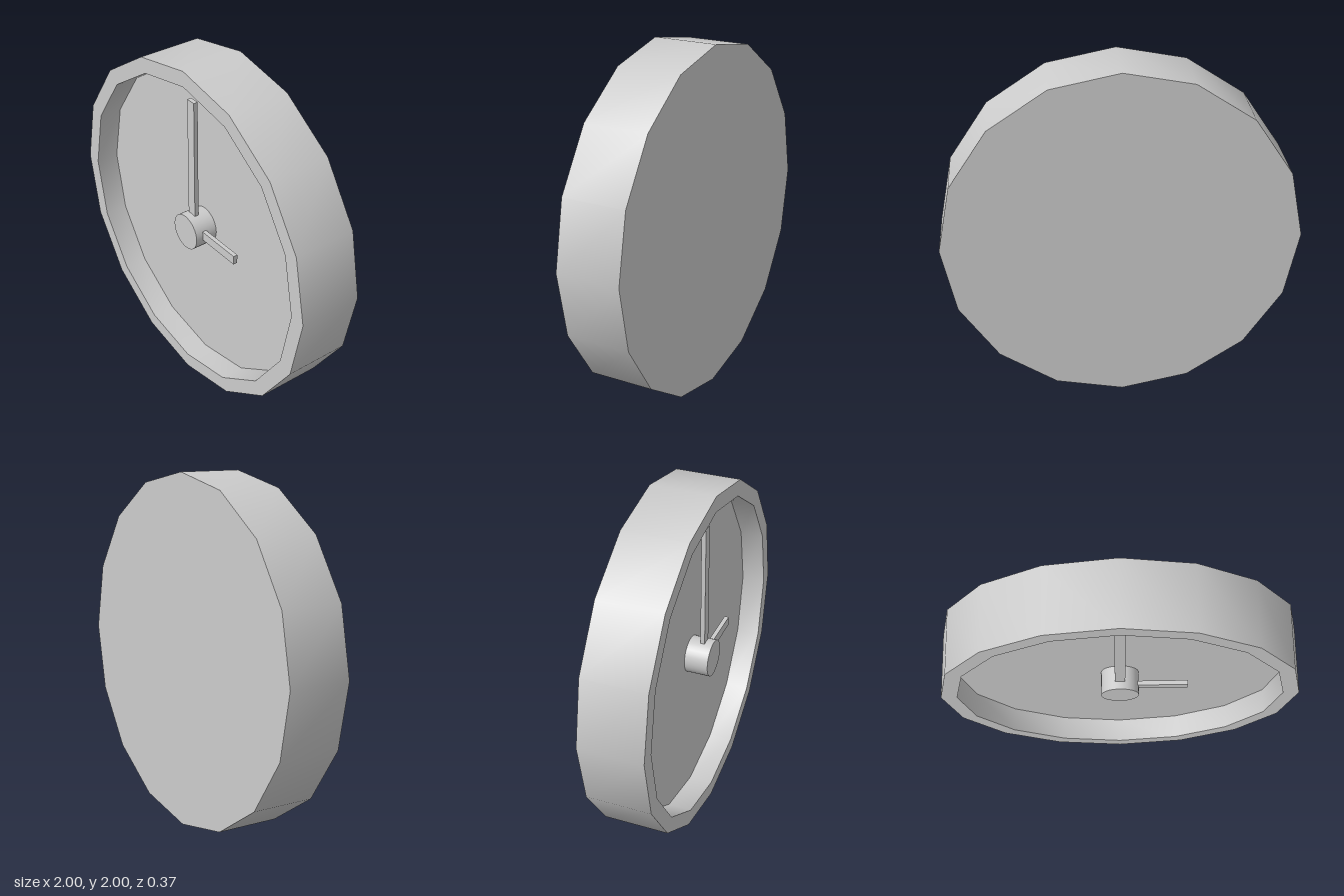
import * as THREE from 'three';
import { toCreasedNormals } from 'three/addons/utils/BufferGeometryUtils.js';

const HALF_DEPTH = 0.185, FLOOR = 0.05, RIM = 0.91;

export function createModel() {
  const clock = new THREE.Group();
  clock.name = 'wallClock';
  const material = new THREE.MeshStandardMaterial({ color: 0xcccccc });

  const add = (name, geometry, x, y, z) => {
    const mesh = new THREE.Mesh(geometry, material);
    mesh.name = name;
    mesh.position.set(x, y, z);
    clock.add(mesh);
    return mesh;
  };

  // Sixteen-sided case: back, outer wall, rim, recess wall and dial in one turned profile
  const profile = [
    [0, -HALF_DEPTH], [1, -HALF_DEPTH], [1, HALF_DEPTH],
    [RIM, HALF_DEPTH], [RIM, FLOOR], [0, FLOOR],
  ].map(([r, h]) => new THREE.Vector2(r, h));
  const caseGeometry = toCreasedNormals(new THREE.LatheGeometry(profile, 16), 0.5);
  caseGeometry.rotateX(Math.PI / 2);
  add('case', caseGeometry, 0, 1, 0);

  // Round hub standing on the dial, flush with the rim
  const hubDepth = HALF_DEPTH - FLOOR;
  const hub = new THREE.CylinderGeometry(0.105, 0.105, hubDepth, 32).rotateX(Math.PI / 2);
  add('hub', hub, 0, 1, FLOOR + hubDepth / 2);

  // Hands start inside the hub and float above the dial
  const handZ = 0.128, thickness = 0.025;
  add('minuteHand', new THREE.BoxGeometry(0.057, 0.76, thickness), 0, 1.432, handZ);
  add('hourHand', new THREE.BoxGeometry(0.33, 0.053, thickness), 0.213, 1.01, handZ);

  return clock;
}
